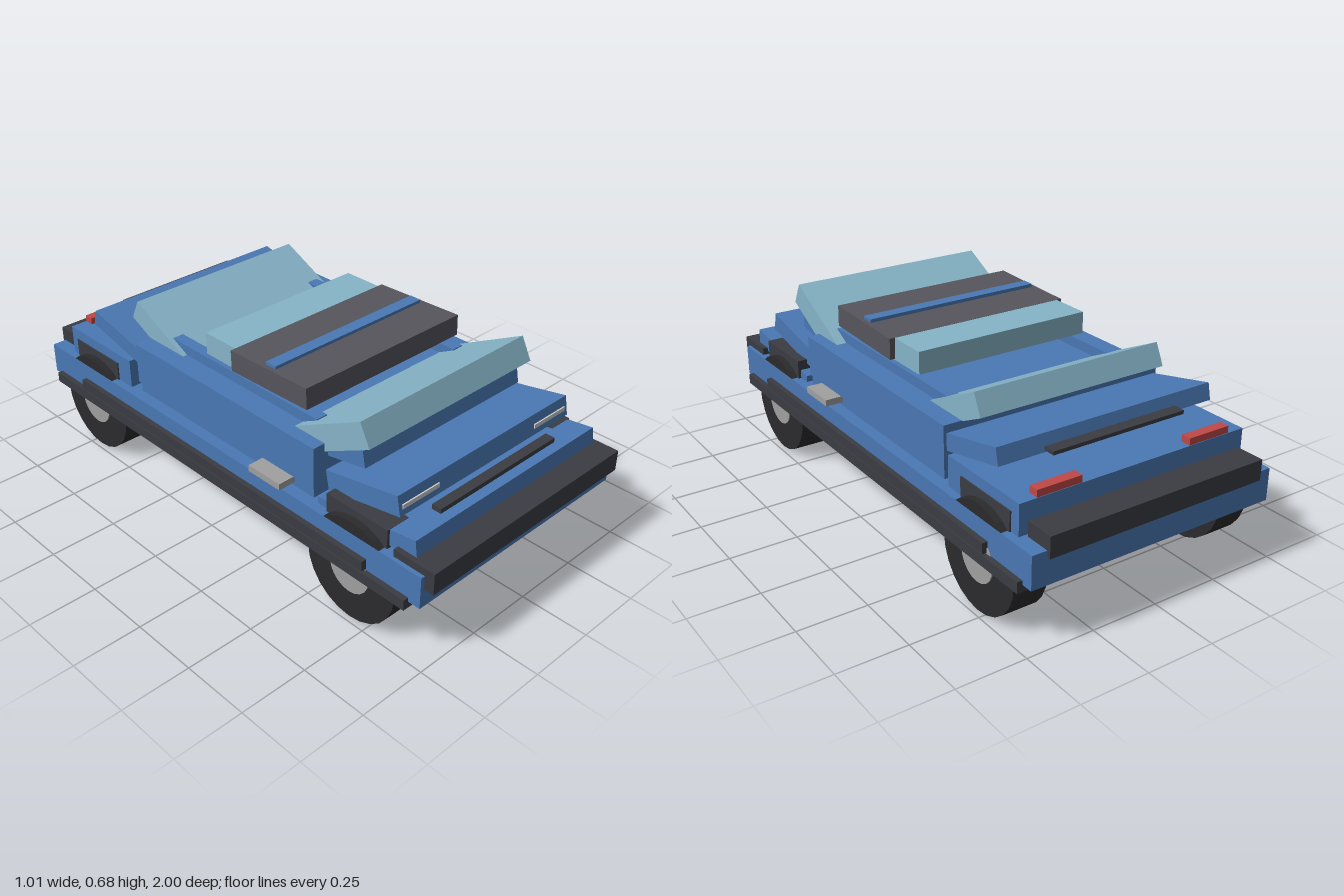
import * as THREE from 'three';

const mat = (color) => new THREE.MeshStandardMaterial({ color, flatShading: true });

export function createModel() {
  const car = new THREE.Group();
  car.name = 'car';
  const blue = mat(0x4a78b4), dark = mat(0x3a3c42), tire = mat(0x2b2b2d), glass = mat(0x86b4c8);
  const grey = mat(0xa0a0a0), red = mat(0xc04848), lamp = mat(0xcccccc), roofGrey = mat(0x55555c);

  // Box given by its x, y and z ranges
  const box = (name, m, [x0, x1], [y0, y1], [z0, z1]) => {
    const mesh = new THREE.Mesh(new THREE.BoxGeometry(x1 - x0, y1 - y0, z1 - z0), m);
    mesh.position.set((x0 + x1) / 2, (y0 + y1) / 2, (z0 + z1) / 2);
    mesh.name = name;
    car.add(mesh);
    return mesh;
  };
  const wide = (name, m, half, y, z) => box(name, m, [-half, half], y, z);
  const pair = (name, m, [x0, x1], y, z) => {
    box(name + 'Left', m, [x0, x1], y, z);
    box(name + 'Right', m, [-x1, -x0], y, z);
  };
  // Full-width slab pitched about x
  const slab = (name, m, half, thick, length, y, z, pitch) => {
    const s = wide(name, m, half, [y - thick / 2, y + thick / 2], [z - length / 2, z + length / 2]);
    s.rotation.x = pitch;
    return s;
  };

  // Lower body
  wide('underbody', dark, 0.5, [0.193, 0.232], [-0.945, 0.917]);
  wide('lowerBody', blue, 0.48, [0.217, 0.335], [-0.987, 0.963]);
  pair('sideTrim', dark, [0.47, 0.5], [0.236, 0.274], [-0.768, 0.74]);
  wide('frontBumper', dark, 0.465, [0.284, 0.362], [0.837, 1]);
  wide('rearBumper', dark, 0.425, [0.312, 0.387], [-1, -0.893]);

  // Upper body panels
  wide('cabinBody', blue, 0.441, [0.373, 0.528], [-0.468, 0.465]);
  wide('cabinBase', blue, 0.435, [0.33, 0.38], [-0.46, 0.46]);
  wide('rearDeck', blue, 0.45, [0.33, 0.445], [-0.882, -0.506]);
  slab('nosePanel', blue, 0.445, 0.06, 0.42, 0.36, 0.70, -0.14);
  slab('hood', blue, 0.417, 0.072, 0.31, 0.448, 0.655, -0.19);
  slab('cowl', blue, 0.378, 0.06, 0.25, 0.512, 0.50, -0.19);
  slab('trunkLid', blue, 0.43, 0.06, 0.34, 0.493, -0.575, 0.22);
  pair('cabinRail', blue, [0.31, 0.355], [0.5, 0.565], [-0.36, 0.39]);

  // Glass and roof
  slab('windshield', glass, 0.393, 0.091, 0.345, 0.559, 0.485, -0.478);
  slab('rearWindow', glass, 0.373, 0.084, 0.288, 0.551, -0.424, 0.447);
  slab('roof', roofGrey, 0.367, 0.078, 0.37, 0.623, 0.169, -0.03);
  wide('roofWindow', glass, 0.347, [0.574, 0.656], [-0.173, 0.24]);
  wide('roofStrip', blue, 0.35, [0.64, 0.674], [0.143, 0.19]);

  // Vents, lights and side handles
  wide('frontVent', dark, 0.285, [0.413, 0.43], [0.825, 0.862]);
  wide('rearVent', dark, 0.263, [0.512, 0.525], [-0.797, -0.753]);
  pair('headlight', lamp, [0.237, 0.402], [0.463, 0.479], [0.79, 0.812]);
  pair('tailLight', red, [0.217, 0.385], [0.44, 0.47], [-0.88, -0.843]);
  pair('sideHandle', grey, [0.43, 0.503], [0.35, 0.374], [0.22, 0.37]);

  // Wheels with hubs, and the arch blocks above them
  const tireGeo = new THREE.CylinderGeometry(0.19, 0.19, 0.125, 24).rotateZ(Math.PI / 2);
  const hubGeo = new THREE.CylinderGeometry(0.084, 0.084, 0.133, 20).rotateZ(Math.PI / 2);
  for (const [end, z] of [['front', 0.67], ['rear', -0.713]]) {
    pair(end + 'Arch', dark, [0.36, 0.455], [0.3, 0.405], [z - 0.131, z + 0.131]);
    for (const [side, s] of [['Left', 1], ['Right', -1]]) {
      const wheel = new THREE.Group();
      wheel.name = end + 'Wheel' + side;
      const t = new THREE.Mesh(tireGeo, tire);
      t.name = 'tire';
      const h = new THREE.Mesh(hubGeo, grey);
      h.name = 'hub';
      wheel.add(t, h);
      wheel.position.set(s * 0.417, 0.19, z);
      car.add(wheel);
    }
  }
  return car;
}
